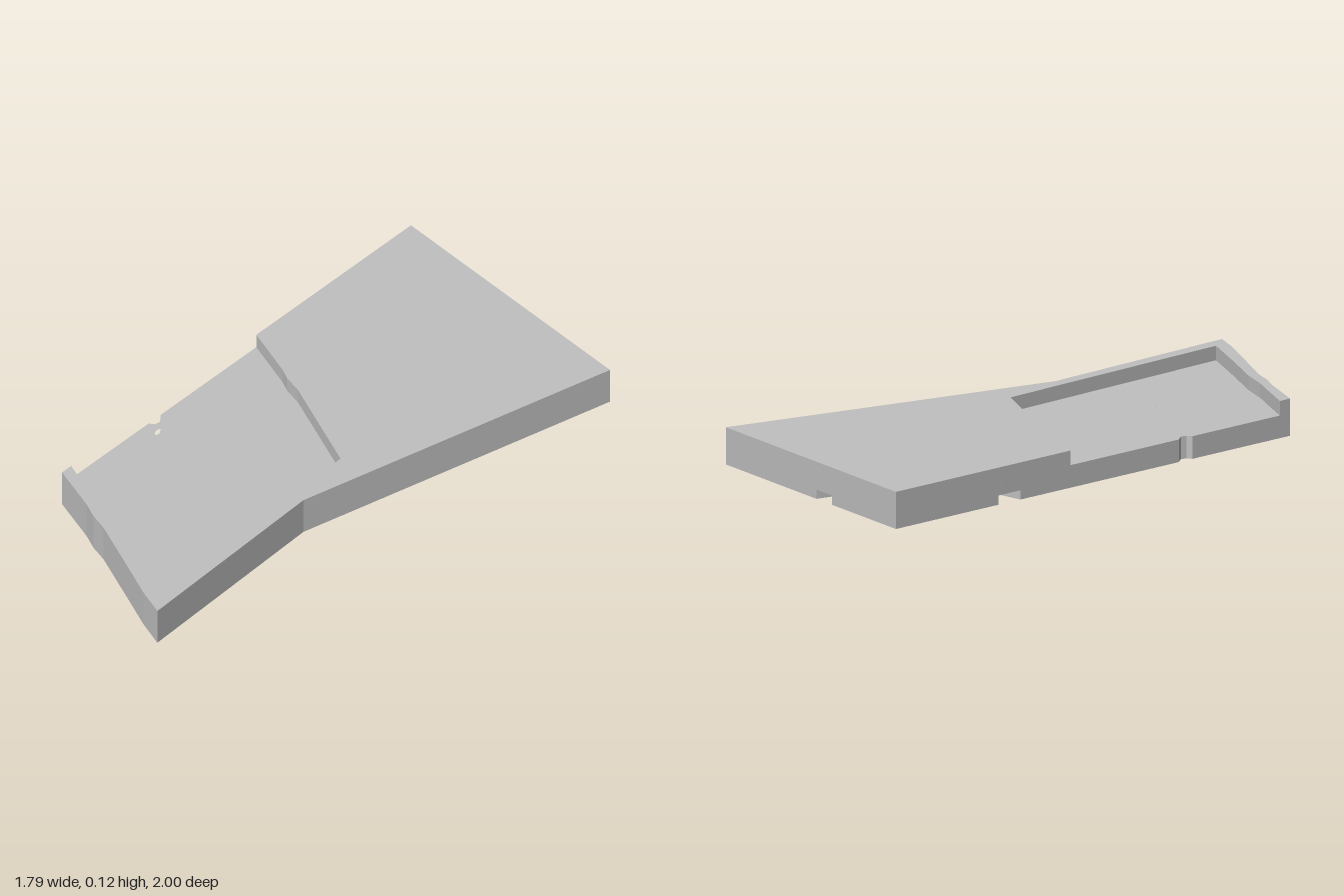
import * as THREE from 'three';

// Plan points are [x, z]; layers are extruded upward.
const A = [0.42, -1], B = [0.895, -0.09], C = [-0.18, 0.465], D = [-0.74, 1];
const endEdge = [D, [-0.765, 0.89], [-0.79, 0.73], [-0.825, 0.51], [-0.845, 0.44], [-0.855, 0.37], [-0.9, 0.18]];
const edgeNotch = [[-0.572, -0.113], [-0.555, -0.105], [-0.537, -0.114], [-0.531, -0.133], [-0.528, -0.153]];

// Shallow channels entering the underside from two edges
const channelAB = [[0.598, -0.66], [0.43, -0.572], [0.474, -0.487], [0.642, -0.575]];
const channelAE = [[0.003, -0.627], [0.13, -0.485], [0.204, -0.551], [0.077, -0.693]];

const baseOutline = [A, ...channelAB, B, C, ...endEdge, ...edgeNotch, ...channelAE];
const fullOutline = [A, B, C, ...endEdge, ...edgeNotch];

// Raised slab with the rim that surrounds the top recess
const raisedOutline = [A, B, C, ...endEdge,
  [-0.865, 0.149], [-0.84, 0.28], [-0.82, 0.39], [-0.79, 0.5], [-0.755, 0.7], [-0.715, 0.91],
  [-0.025, 0.255], [-0.09, -0.15], [-0.112, -0.22], [-0.118, -0.27], [-0.165, -0.477]];

// Deep pockets between the ribs of the underside
const pockets = [
  [[0.66, -0.02], [0.3, 0.06], [0.29, -0.36], [0.43, -0.43]],
  [[0.43, -0.475], [0.34, -0.6], [0.29, -0.43]],
  [[0.31, -0.57], [0.16, -0.46], [0.25, -0.425]],
  [[0.25, 0.035], [0.25, -0.38], [0.1, -0.41], [-0.07, -0.25], [-0.03, 0.035]],
  [[0.25, 0.1], [-0.012, 0.075], [0, 0.265]],
  [[0.6, 0.03], [0.33, 0.11], [0.3, 0.18]],
  [[0.26, 0.16], [0.02, 0.3], [-0.13, 0.41]],
];

// Round through holes in the thin end
const drillHoles = [[-0.535, -0.05], [-0.46, 0.305], [-0.52, 0.39]].map(([cx, cz]) =>
  Array.from({ length: 24 }, (_, i) => {
    const a = (i / 24) * Math.PI * 2;
    return [cx + 0.028 * Math.cos(a), cz + 0.028 * Math.sin(a)];
  }));

const toPoints = (pts) => pts.map(([x, z]) => new THREE.Vector2(x, -z));

function layer(name, outline, holes, y0, y1, material) {
  const shape = new THREE.Shape(toPoints(outline));
  shape.holes = holes.map((h) => new THREE.Path(toPoints(h)));
  const geometry = new THREE.ExtrudeGeometry(shape, { depth: y1 - y0, bevelEnabled: false });
  geometry.rotateX(-Math.PI / 2);
  geometry.translate(0, y0, 0);
  const mesh = new THREE.Mesh(geometry, material);
  mesh.name = name;
  return mesh;
}

export function createModel() {
  const group = new THREE.Group();
  group.name = 'ribbedPlate';
  const grey = new THREE.MeshStandardMaterial({ color: 0xc0c0c0 });
  grey.name = 'light grey';

  group.add(
    layer('channelledBase', baseOutline, [...pockets, ...drillHoles], 0, 0.03, grey),
    layer('recessFloor', fullOutline, [...pockets, ...drillHoles], 0.03, 0.073, grey),
    layer('raisedRim', raisedOutline, pockets, 0.073, 0.1, grey),
    layer('topSkin', raisedOutline, [], 0.1, 0.12, grey),
  );
  return group;
}
